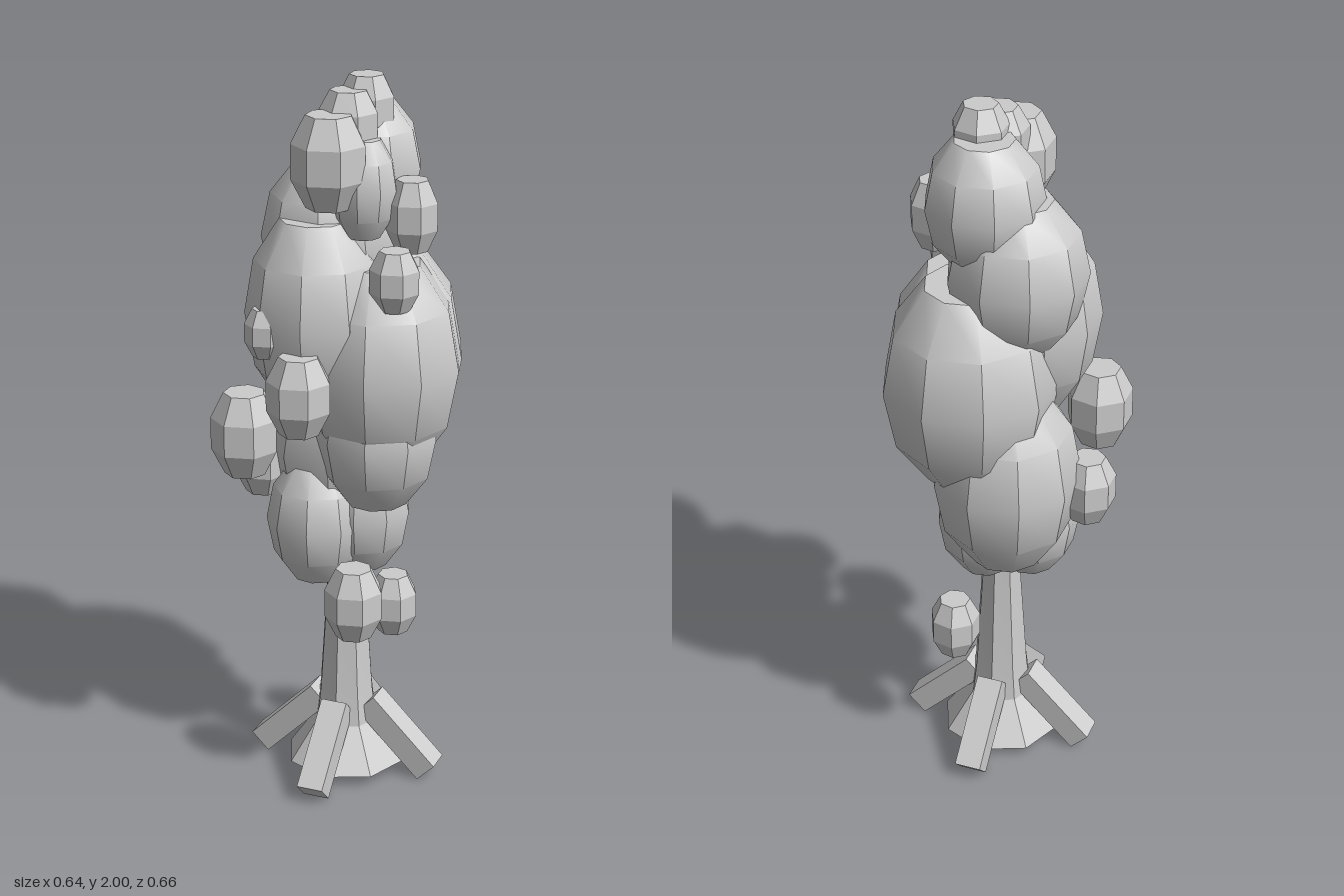
import * as THREE from 'three';
import { toCreasedNormals } from 'three/addons/utils/BufferGeometryUtils.js';

const stone = new THREE.MeshStandardMaterial({ color: 0xcccccc });
stone.name = 'pale grey';

// Lathe with a corner pointing at +x and crisp vertical edges
function turned(profile, sides, crease) {
  const points = profile.map(([r, y]) => new THREE.Vector2(r, y));
  const geometry = new THREE.LatheGeometry(points, sides, Math.PI / 2);
  return toCreasedNormals(geometry, crease);
}

// Unit ball whose poles are cut flat at the first ring
function cutBall(sides, stacks, crease) {
  const step = Math.PI / stacks;
  const top = Math.cos(step);
  const widest = Math.sin(Math.floor(stacks / 2) * step);
  const profile = [[0, -1]];
  for (let i = stacks - 1; i > 0; i--) {
    profile.push([Math.sin(i * step) / widest, Math.cos(i * step) / top]);
  }
  profile.push([0, 1]);
  return turned(profile, sides, crease);
}

export function createModel() {
  const tree = new THREE.Group();
  tree.name = 'tree';

  const add = (name, geometry, parent = tree) => {
    const mesh = new THREE.Mesh(geometry, stone);
    mesh.name = name;
    parent.add(mesh);
    return mesh;
  };

  // Trunk with a flared foot
  add('trunk', turned([
    [0, 0.03], [0.172, 0.03], [0.09, 0.15], [0.078, 0.25], [0.055, 0.6], [0.04, 1.0], [0, 1.0],
  ], 8, 0.3));

  // Four slanting roots
  for (let i = 0; i < 4; i++) {
    const arm = new THREE.Group();
    arm.name = 'rootArm';
    arm.rotation.y = i * Math.PI / 2;
    tree.add(arm);
    const root = add('root', new THREE.BoxGeometry(0.26, 0.07, 0.075), arm);
    root.position.set(0.163, 0.118, 0);
    root.rotation.z = -Math.PI / 4;
  }

  const place = (name, geometry, list) => {
    for (const [x, y, z, r, h] of list) {
      const mesh = add(name, geometry);
      mesh.position.set(x, y, z);
      mesh.scale.set(r, h, r);
    }
  };

  // Large foliage masses: x, y, z, radius, half height
  place('foliage', cutBall(9, 6, 0.63), [
    [-0.075, 0.76, 0.03, 0.14, 0.17],
    [0.03, 0.78, -0.05, 0.135, 0.17],
    [-0.045, 0.95, -0.085, 0.205, 0.26],
    [0.1, 1.04, 0.03, 0.17, 0.2],
    [0.097, 1.23, 0.003, 0.224, 0.28],
    [0.055, 1.23, -0.096, 0.24, 0.29],
    [-0.06, 1.37, 0.07, 0.19, 0.26],
    [-0.06, 1.55, -0.045, 0.19, 0.21],
    [0.02, 1.75, -0.07, 0.16, 0.175],
    [0.07, 1.72, 0.055, 0.09, 0.13],
  ]);

  // Small tufts around the crown
  place('tuft', cutBall(7, 5, 0.1), [
    [0.045, 1.91, -0.03, 0.075, 0.09],
    [0.02, 1.88, 0.035, 0.08, 0.09],
    [0.0, 1.8, 0.12, 0.1, 0.122],
    [0.19, 1.65, 0.015, 0.07, 0.095],
    [0.18, 1.5, 0.115, 0.067, 0.08],
    [-0.15, 1.345, 0.2, 0.055, 0.066],
    [-0.036, 1.2, 0.245, 0.087, 0.107],
    [-0.218, 1.05, 0.189, 0.092, 0.115],
    [-0.25, 0.9, 0, 0.078, 0.095],
    [0.095, 0.6, 0.185, 0.08, 0.1],
    [0.083, 0.45, -0.152, 0.07, 0.088],
  ]);

  return tree;
}
